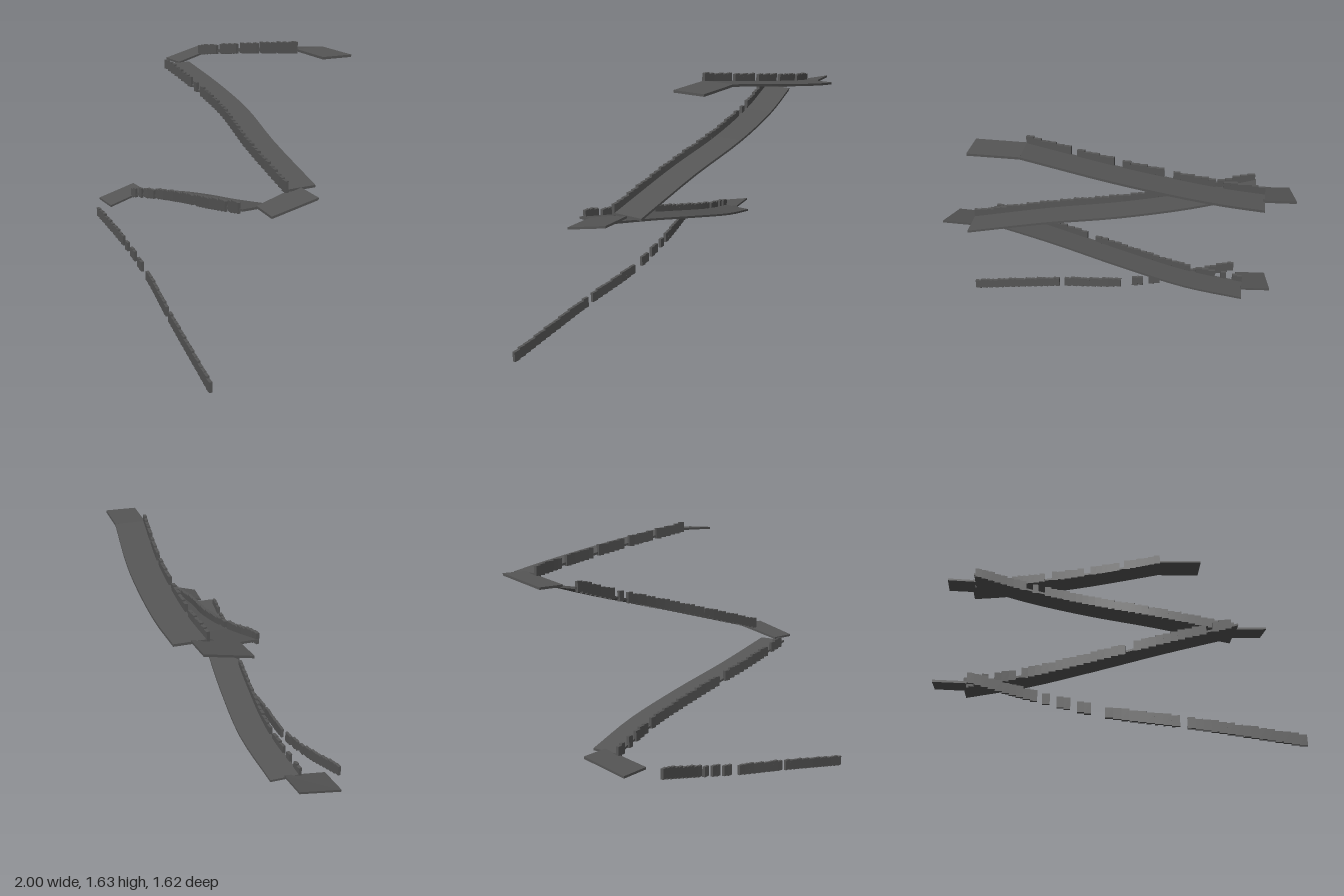
import * as THREE from 'three';

const stone = new THREE.MeshStandardMaterial({ color: 0x555555 });
stone.name = 'dark grey stone';

const THICK = 0.013;
const WIDTH = new THREE.Vector3(0.058, 0, -0.167); // front edge to back edge of a ramp
const vec = (p) => new THREE.Vector3(...p);

// Thin slab lofted between a front and a back edge, both running toward +x
function slab(name, front, back) {
  const down = new THREE.Vector3(0, -THICK, 0);
  const rings = front.map((f, i) => [f, back[i], back[i].clone().add(down), f.clone().add(down)]);
  const pos = [];
  const quad = (a, b, c, d) => [a, b, c, a, c, d].forEach((p) => pos.push(p.x, p.y, p.z));
  for (let i = 0; i < rings.length - 1; i++) {
    for (let k = 0; k < 4; k++) {
      const n = (k + 1) % 4;
      quad(rings[i][k], rings[i + 1][k], rings[i + 1][n], rings[i][n]);
    }
  }
  quad(...rings[0]);
  quad(...rings[rings.length - 1].slice().reverse());
  const geo = new THREE.BufferGeometry();
  geo.setAttribute('position', new THREE.Float32BufferAttribute(pos, 3));
  geo.computeVertexNormals();
  const mesh = new THREE.Mesh(geo, stone);
  mesh.name = name;
  return mesh;
}

// Curve parameter at a given x (x always grows along the curve)
function paramAtX(curve, x) {
  let lo = 0, hi = 1;
  for (let i = 0; i < 24; i++) {
    const mid = (lo + hi) / 2;
    if (curve.getPoint(mid).x < x) lo = mid; else hi = mid;
  }
  return lo;
}

// Parapet of upright blocks, stepping along the edge, with gaps between runs
function parapet(name, curve, runs, lift) {
  const group = new THREE.Group();
  group.name = name;
  let n = 0;
  for (const [x0, x1] of runs) {
    const count = Math.max(1, Math.round((x1 - x0) / 0.038));
    const step = (x1 - x0) / count;
    for (let i = 0; i < count; i++) {
      const t = paramAtX(curve, x0 + (i + 0.5) * step);
      const p = curve.getPoint(t);
      const dir = curve.getTangent(t);
      const flat = Math.hypot(dir.x, dir.z);
      const jitter = (((n++ * 7) % 5) - 2) * 0.0015;
      const block = new THREE.Mesh(
        new THREE.BoxGeometry(step * flat / dir.x, 0.062 + jitter, 0.018), stone);
      block.name = 'parapetBlock';
      block.position.set(p.x, p.y + lift + jitter / 2, p.z);
      block.rotation.y = Math.atan2(-dir.z, dir.x);
      group.add(block);
    }
  }
  return group;
}

// Flights from bottom to top: front edge points and the x ranges of their parapet
const flights = [
  { name: 'lowest', ramp: false,
    edge: [[-0.84, 0.39, 0.15], [-0.48, 0.3, 0.235], [-0.12, 0.215, 0.36], [0.26, 0.148, 0.54], [0.835, 0.036, 0.795]],
    runs: [[-0.84, -0.47], [-0.445, -0.405], [-0.37, -0.3], [-0.265, -0.195], [-0.125, 0.235], [0.27, 0.835]] },
  { name: 'lower', ramp: true,
    edge: [[-0.8, 0.455, -0.12], [-0.45, 0.545, -0.05], [-0.075, 0.65, 0.095], [0.3, 0.755, 0.265], [0.7, 0.865, 0.42]],
    runs: [[-0.8, -0.74], [-0.7, -0.665], [-0.63, -0.51], [-0.48, 0.08], [0.125, 0.52], [0.555, 0.66]] },
  { name: 'middle', ramp: true,
    edge: [[-0.727, 1.33, -0.38], [-0.39, 1.247, -0.305], [-0.02, 1.16, -0.18], [0.355, 1.06, 0.005], [0.807, 0.943, 0.195]],
    runs: [[-0.72, -0.4], [-0.36, -0.325], [-0.285, 0.807]] },
  { name: 'upper', ramp: true,
    edge: [[-0.674, 1.39, -0.65], [-0.46, 1.425, -0.605], [-0.2, 1.47, -0.525], [0.08, 1.52, -0.42], [0.51, 1.597, -0.22]],
    runs: [[-0.674, -0.46], [-0.42, -0.21], [-0.165, 0.04], [0.08, 0.26], [0.29, 0.51]] },
];

// Landings: front-left, front-right, back-left, back-right corners
const landings = [
  ['lowerLanding', [-1, 0.407, 0.005], [-0.82, 0.407, 0.053], [-0.936, 0.467, -0.25], [-0.766, 0.467, -0.207]],
  ['middleLanding', [0.733, 0.875, 0.35], [0.893, 0.875, 0.417], [0.807, 0.942, 0.1], [1, 0.942, 0.176]],
  ['upperLanding', [-0.866, 1.335, -0.52], [-0.69, 1.335, -0.475], [-0.802, 1.397, -0.775], [-0.64, 1.397, -0.73]],
  ['topLanding', [0.51, 1.597, -0.22], [0.77, 1.597, -0.12], [0.567, 1.597, -0.387], [0.832, 1.597, -0.288]],
];

export function createModel() {
  const model = new THREE.Group();
  model.name = 'zigzagRampWay';
  for (const { name, ramp, edge, runs } of flights) {
    const curve = new THREE.CatmullRomCurve3(edge.map(vec));
    if (ramp) {
      const front = curve.getPoints(16);
      model.add(slab(name + 'Ramp', front, front.map((p) => p.clone().add(WIDTH))));
    }
    model.add(parapet(name + 'Parapet', curve, runs, ramp ? 0.008 : 0));
  }
  for (const [name, fl, fr, bl, br] of landings) {
    model.add(slab(name, [vec(fl), vec(fr)], [vec(bl), vec(br)]));
  }
  return model;
}
